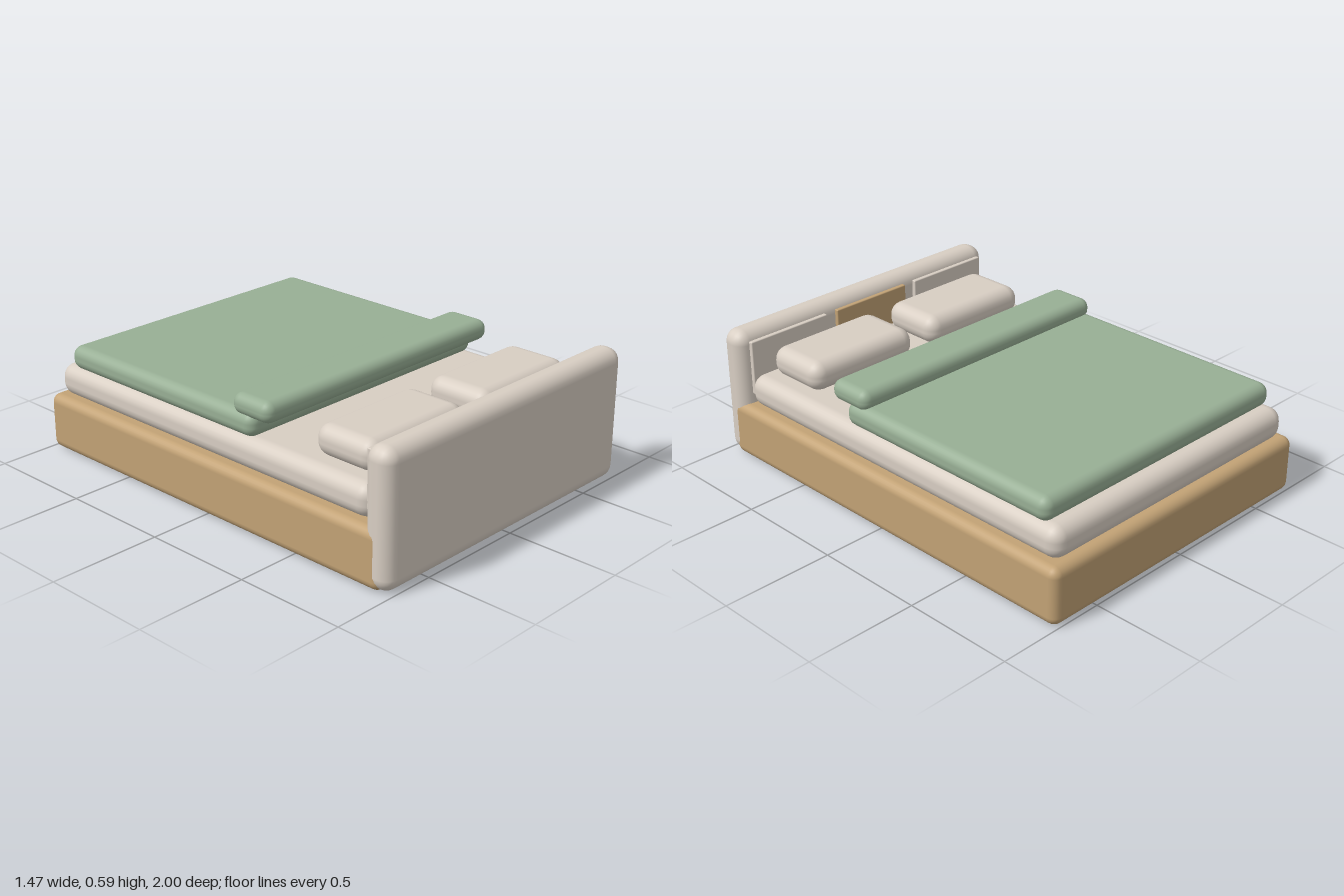
import * as THREE from 'three';
import { RoundedBoxGeometry } from 'three/addons/geometries/RoundedBoxGeometry.js';

function material(name, color) {
  const m = new THREE.MeshStandardMaterial({ color });
  m.name = name;
  return m;
}

export function createModel() {
  const bed = new THREE.Group();
  bed.name = 'bed';
  const cream = material('cream fabric', 0xd8cec3);
  const wood = material('light wood', 0xc2a275);
  const sage = material('sage green', 0x98af95);

  // Softly rounded block given by its limits on each axis
  function block(name, mat, [x0, x1], [y0, y1], [z0, z1], radius) {
    const geo = new RoundedBoxGeometry(x1 - x0, y1 - y0, z1 - z0, 3, radius);
    const mesh = new THREE.Mesh(geo, mat);
    mesh.name = name;
    mesh.position.set((x0 + x1) / 2, (y0 + y1) / 2, (z0 + z1) / 2);
    bed.add(mesh);
  }

  // Frame
  block('base', wood, [-0.737, 0.737], [0, 0.255], [-1, 0.955], 0.04);
  block('headboard', cream, [-0.736, 0.736], [0.001, 0.592], [0.865, 1], 0.06);

  // Bedding
  block('mattress', cream, [-0.7, 0.7], [0.25, 0.395], [-0.97, 0.87], 0.06);
  block('duvet', sage, [-0.685, 0.685], [0.385, 0.492], [-0.9, 0.237], 0.045);
  block('duvetFold', sage, [-0.682, 0.682], [0.468, 0.562], [0.112, 0.328], 0.043);

  // Panels on the inner face of the headboard
  block('centrePanel', wood, [-0.205, 0.205], [0.3, 0.552], [0.846, 0.868], 0.005);
  for (const [side, s] of [['left', 1], ['right', -1]]) {
    const span = (a, b) => (s > 0 ? [a, b] : [-b, -a]);
    block(side + 'Panel', cream, span(0.265, 0.685), [0.3, 0.552], [0.846, 0.868], 0.005);
    block(side + 'Pillow', cream, span(0.05, 0.617), [0.39, 0.525], [0.5, 0.812], 0.06);
  }
  return bed;
}
